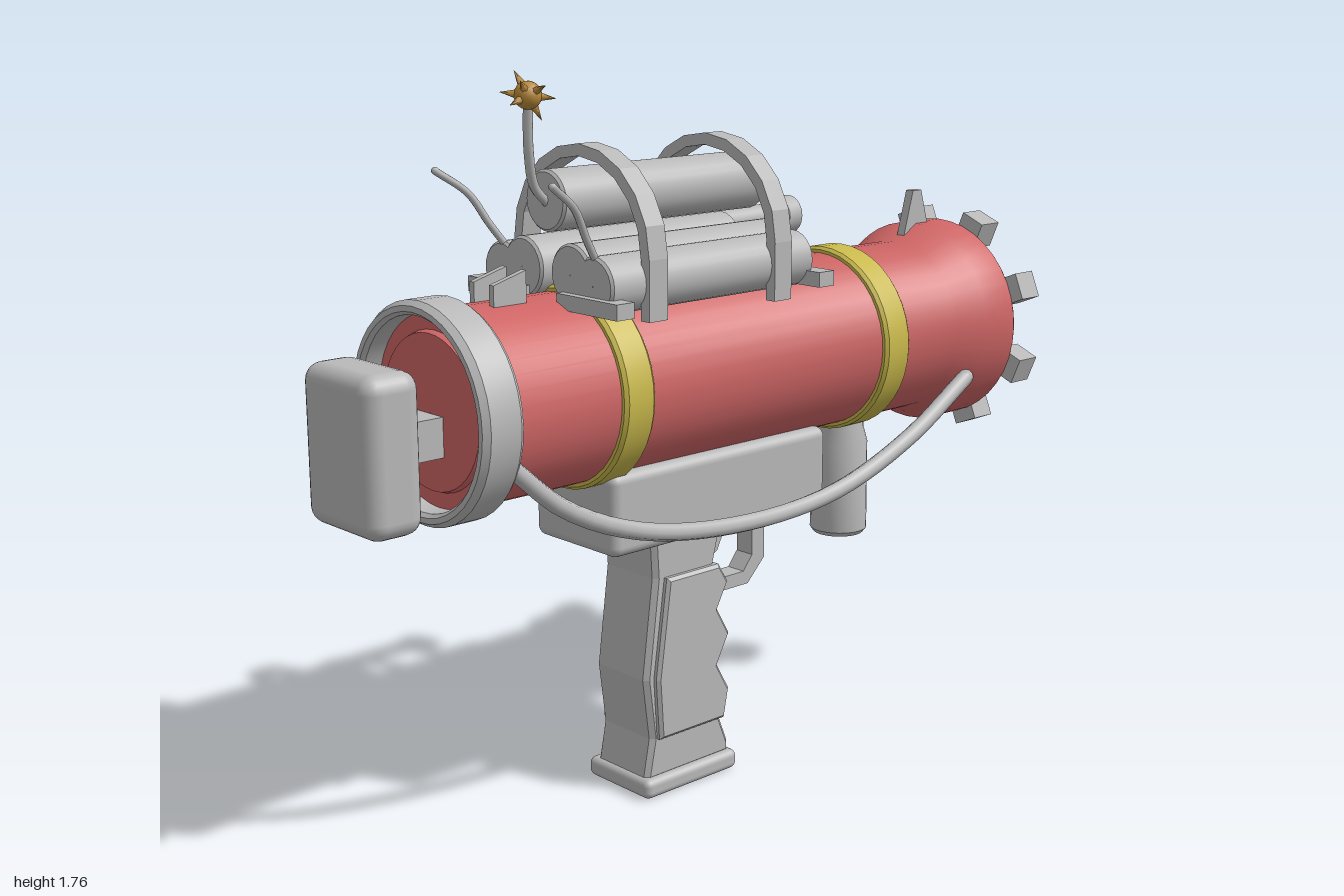
import * as THREE from 'three';
import { toCreasedNormals } from 'three/addons/utils/BufferGeometryUtils.js';
import { RoundedBoxGeometry } from 'three/addons/geometries/RoundedBoxGeometry.js';

const AXIS_Y = 1.035; // height of the barrel axis

function material(name, color) {
  const m = new THREE.MeshStandardMaterial({ color });
  m.name = name;
  return m;
}

export function createModel() {
  const root = new THREE.Group();
  root.name = 'launcher';
  const red = material('barrel red', 0xd06666);
  const grey = material('metal grey', 0xb9b9b9);
  const yellow = material('band yellow', 0xc9b94c);
  const gold = material('antenna gold', 0xb98a3c);

  function add(name, geo, mat, x = 0, y = 0, z = 0) {
    const mesh = new THREE.Mesh(geo, mat);
    mesh.name = name;
    mesh.position.set(x, y, z);
    root.add(mesh);
    return mesh;
  }

  // Turned part along z from [radius, z] points, running from back to front
  function turned(name, pts, mat, x, y, segments = 32) {
    const geo = new THREE.LatheGeometry(pts.map(p => new THREE.Vector2(...p)), segments);
    geo.rotateX(Math.PI / 2);
    return add(name, toCreasedNormals(geo, 0.6), mat, x, y);
  }

  // Side outline of [z, y] points, extruded across x
  function profile(name, pts, width, mat, x = 0, bevel = 0) {
    const shape = new THREE.Shape(pts.map(([z, y]) => new THREE.Vector2(-z, y)));
    const depth = width - 2 * bevel;
    const geo = new THREE.ExtrudeGeometry(shape, {
      depth, bevelEnabled: bevel > 0, bevelSize: bevel, bevelThickness: bevel,
      bevelOffset: -bevel, bevelSegments: 1,
    });
    geo.translate(0, 0, -depth / 2).rotateY(Math.PI / 2);
    return add(name, geo, mat, x);
  }

  function rounded(name, w, h, d, r, mat, x, y, z) {
    return add(name, new RoundedBoxGeometry(w, h, d, 3, r), mat, x, y, z);
  }

  function box(name, w, h, d, mat, x, y, z) {
    return add(name, new THREE.BoxGeometry(w, h, d), mat, x, y, z);
  }

  // Round wire or hose through points, closed by a sphere at each end
  function wire(name, pts, r, mat) {
    const v = pts.map(p => new THREE.Vector3(...p));
    add(name, new THREE.TubeGeometry(new THREE.CatmullRomCurve3(v), 32, r, 8), mat);
    for (const p of [v[0], v[v.length - 1]]) {
      add(name + 'End', new THREE.SphereGeometry(r, 8, 6), mat, p.x, p.y, p.z);
    }
  }

  // Barrel with flared, hollow muzzle and stepped front disc
  turned('barrel', [
    [0.001, -0.5], [0.17, -0.5], [0.17, -0.88], [0.205, -0.9], [0.21, -0.94], [0.258, -0.94],
    [0.265, -0.93], [0.265, -0.82], [0.222, -0.75], [0.222, 0.74], [0.18, 0.74],
    [0.175, 0.755], [0.001, 0.755],
  ], red, 0, AXIS_Y, 40);

  // Front collar
  turned('frontCollar', [
    [0.215, 0.69], [0.242, 0.69], [0.249, 0.7], [0.249, 0.78], [0.238, 0.795],
    [0.225, 0.795], [0.217, 0.785], [0.215, 0.69],
  ], grey, 0, AXIS_Y, 40);

  // Yellow bands
  for (const z of [0.355, -0.505]) {
    turned('band', [
      [0.215, z - 0.045], [0.23, z - 0.045], [0.237, z - 0.036], [0.237, z + 0.036],
      [0.23, z + 0.045], [0.215, z + 0.045],
    ], yellow, 0, AXIS_Y, 40);
  }

  // Muzzle teeth
  for (let i = 0; i < 8; i++) {
    const a = (i + 0.5) * Math.PI / 4;
    const tooth = box('muzzleTooth', 0.07, 0.07, 0.07, grey,
      0.264 * Math.cos(a), AXIS_Y + 0.264 * Math.sin(a), -0.965);
    tooth.rotation.z = a;
  }

  // Front pad and its stem
  rounded('frontPad', 0.26, 0.355, 0.14, 0.04, grey, 0, 0.987, 0.93);
  box('padStem', 0.09, 0.09, 0.16, grey, 0, 0.988, 0.81);

  // Receiver, grip, side panels and base
  rounded('receiver', 0.29, 0.2, 0.707, 0.025, grey, 0, 0.747, 0.008);
  const waves = [
    [-0.03, 0.145], [-0.045, 0.22], [-0.005, 0.29], [-0.045, 0.365],
    [-0.005, 0.435], [-0.04, 0.5], [-0.01, 0.55],
  ];
  profile('grip', [
    [0.22, 0.04], [0.2, 0.145], [0.22, 0.3], [0.188, 0.55], [0.195, 0.67], [-0.04, 0.67],
    ...[...waves].reverse(), [-0.06, 0.07], [-0.06, 0.04],
  ], 0.186, grey, 0, 0.012);
  profile('gripPanel', [[0.185, 0.145], [0.195, 0.3], [0.16, 0.55], ...[...waves].reverse()],
    0.22, grey, 0, 0.008);
  rounded('gripBase', 0.225, 0.05, 0.305, 0.018, grey, 0, 0.025, 0.081);

  // Trigger and guard
  profile('trigger', [
    [-0.075, 0.66], [-0.11, 0.66], [-0.105, 0.59], [-0.085, 0.55], [-0.06, 0.535],
    [-0.06, 0.555], [-0.075, 0.59],
  ], 0.04, grey);
  profile('triggerGuard', [
    [-0.2, 0.66], [-0.243, 0.66], [-0.243, 0.5], [-0.185, 0.442], [-0.03, 0.442],
    [-0.03, 0.477], [-0.17, 0.477], [-0.2, 0.515],
  ], 0.055, grey);

  // Forward handle
  const handle = new THREE.LatheGeometry([
    [0.001, 0.503], [0.066, 0.503], [0.075, 0.515], [0.073, 0.75], [0.062, 0.79], [0.062, 0.85],
  ].map(p => new THREE.Vector2(...p)), 24);
  add('forwardHandle', toCreasedNormals(handle, 0.6), grey, 0, 0, -0.55);

  // Hose on the left side
  wire('hose', [
    [0.2, 0.945, 0.7], [0.225, 0.83, 0.57], [0.235, 0.738, 0.356], [0.237, 0.692, 0.04],
    [0.237, 0.71, -0.28], [0.235, 0.8, -0.555], [0.225, 0.92, -0.785],
  ], 0.021, grey);

  // Canister cluster
  for (const [x, y, r] of [
    [0, 1.465, 0.07], [0.085, 1.308, 0.07], [-0.085, 1.308, 0.07],
    [0.162, 1.292, 0.066], [-0.162, 1.292, 0.066],
  ]) {
    turned('canister', [
      [0.001, -0.2], [r - 0.006, -0.2], [r, -0.194], [r, 0.424], [r - 0.006, 0.43], [0.001, 0.43],
    ], grey, x, y, 24);
  }

  // Support bars under the canisters
  for (const z of [0.425, -0.205]) {
    for (const s of [-1, 1]) box('supportBar', 0.205, 0.036, 0.05, grey, s * 0.1625, 1.25, z);
  }

  // Arched straps over the canisters
  const arc = (r, n = 10) => Array.from({ length: n + 1 }, (_, i) => {
    const a = Math.PI * i / n;
    return new THREE.Vector2(r * Math.cos(a), 1.347 + r * Math.sin(a));
  });
  const strap = new THREE.Shape([
    new THREE.Vector2(0.238, 1.21), ...arc(0.238), new THREE.Vector2(-0.238, 1.21),
    new THREE.Vector2(-0.21, 1.21), ...arc(0.21).reverse(), new THREE.Vector2(0.21, 1.21),
  ]);
  for (const z of [0.305, -0.085]) {
    add('strap', new THREE.ExtrudeGeometry(strap, { depth: 0.055, bevelEnabled: false }),
      grey, 0, 0, z - 0.0275);
  }

  // Scope, lens and posts on the right side
  turned('scope', [
    [0.036, -0.515], [0.04, -0.53], [0.05, -0.53], [0.05, -0.485], [0.035, -0.465],
    [0.033, -0.27], [0.04, -0.26], [0.04, -0.19],
  ], grey, -0.178, 1.332, 20);
  const lens = add('scopeLens', new THREE.CircleGeometry(0.04, 20), gold, -0.178, 1.332, -0.522);
  lens.rotation.y = Math.PI;
  for (const z of [-0.287, -0.437]) box('scopePost', 0.035, 0.16, 0.035, grey, -0.165, 1.235, z);

  // Front and rear sights
  for (const x of [-0.035, 0.035]) {
    profile('frontSight', [[0.61, 1.23], [0.61, 1.3], [0.52, 1.325], [0.52, 1.23]], 0.016, grey, x);
  }
  profile('rearSight', [[-0.765, 1.24], [-0.805, 1.387], [-0.838, 1.387], [-0.868, 1.29], [-0.868, 1.24]],
    0.024, grey);

  // Antenna with a spiked ball
  wire('antenna', [[0, 1.462, 0.425], [0.008, 1.5, 0.465], [0.025, 1.58, 0.492], [0.045, 1.7, 0.507]],
    0.011, grey);
  const star = new THREE.Group();
  star.name = 'spikedBall';
  star.position.set(0.045, 1.702, 0.507);
  star.rotation.set(0.3, 0.2, 0.35);
  star.add(new THREE.Mesh(new THREE.SphereGeometry(0.031, 14, 10), gold));
  const dirs = [[1, 0, 0], [0, 1, 0], [0, 0, 1], [1, 1, 1], [-1, 1, 1]];
  for (const d of dirs) {
    for (const s of [-1, 1]) {
      const dir = new THREE.Vector3(...d).normalize().multiplyScalar(s);
      const spike = new THREE.Mesh(new THREE.ConeGeometry(0.011, 0.04, 6), gold);
      spike.name = 'spike';
      spike.position.copy(dir).multiplyScalar(0.042);
      spike.quaternion.setFromUnitVectors(new THREE.Vector3(0, 1, 0), dir);
      star.add(spike);
    }
  }
  star.children[0].name = 'ball';
  root.add(star);

  // Loose wires from the side canisters
  for (const s of [-1, 1]) {
    wire('looseWire', [[s * 0.16, 1.35, 0.42], [s * 0.172, 1.4, 0.455], [s * 0.188, 1.47, 0.5],
      [s * 0.208, 1.525, 0.575]], 0.009, grey);
  }

  return root;
}
